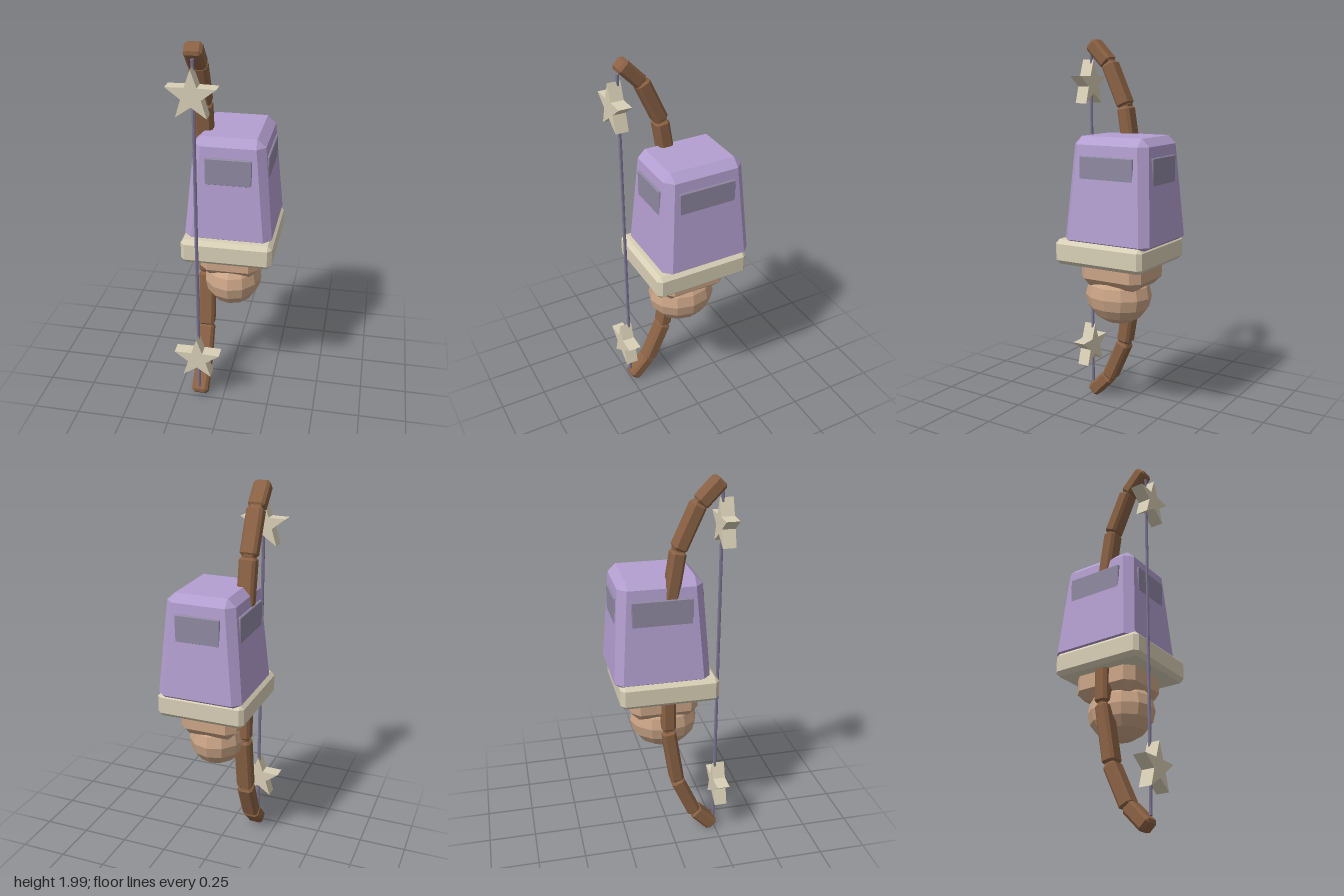
import * as THREE from 'three';

const mat = (color) => new THREE.MeshStandardMaterial({ color, flatShading: true });
const purple = mat(0xb39fd0), cream = mat(0xd8cfb6), skin = mat(0xcba587);
const wood = mat(0x8a6245), cord = mat(0x7a7390), panelGrey = mat(0x9089a2);

// Stacks corner-cut rectangles [y, x0, x1, z0, z1, cut] from bottom to top
function loft(rings) {
  const loops = rings.map(([y, x0, x1, z0, z1, c]) => [
    [x1, y, z0 + c], [x1, y, z1 - c], [x1 - c, y, z1], [x0 + c, y, z1],
    [x0, y, z1 - c], [x0, y, z0 + c], [x0 + c, y, z0], [x1 - c, y, z0],
  ]);
  const pos = [];
  const tri = (...pts) => pts.forEach((p) => pos.push(...p));
  for (let r = 0; r < loops.length - 1; r++) {
    const a = loops[r], b = loops[r + 1];
    for (let i = 0; i < 8; i++) {
      const j = (i + 1) % 8;
      tri(a[i], b[i], a[j]);
      tri(a[j], b[i], b[j]);
    }
  }
  const low = loops[0], top = loops[loops.length - 1];
  for (let i = 1; i < 7; i++) {
    tri(low[0], low[i], low[i + 1]);
    tri(top[0], top[i + 1], top[i]);
  }
  const g = new THREE.BufferGeometry();
  g.setAttribute('position', new THREE.Float32BufferAttribute(pos, 3));
  g.computeVertexNormals();
  return g;
}

// Box with bevelled edges, centred on the origin
function bevelBox(w, h, d, b) {
  const x = w / 2, y = h / 2, z = d / 2;
  const ring = (yy, i, c) => [yy, -x + i, x - i, -z + i, z - i, c];
  return loft([ring(-y, b, 0.001), ring(-y + b, 0, b), ring(y - b, 0, b), ring(y, b, 0.001)]);
}

function starGeometry(R, depth) {
  const s = new THREE.Shape();
  for (let i = 0; i < 10; i++) {
    const a = Math.PI / 2 + (i * Math.PI) / 5, r = i % 2 ? R * 0.4 : R;
    s[i ? 'lineTo' : 'moveTo'](Math.cos(a) * r, Math.sin(a) * r);
  }
  return new THREE.ExtrudeGeometry(s, { depth, bevelEnabled: false });
}

export function createModel() {
  const model = new THREE.Group();
  const add = (name, geo, material, x = 0, y = 0, z = 0, parent = model) => {
    const m = new THREE.Mesh(geo, material);
    m.name = name;
    m.position.set(x, y, z);
    parent.add(m);
    return m;
  };

  // Tapered sleeve
  add('sleeve', loft([
    [0.96, -0.17, 0.2, -0.265, 0.155, 0.002],
    [0.985, -0.21, 0.24, -0.302, 0.194, 0.04],
    [1.47, -0.163, 0.197, -0.27, 0.16, 0.042],
    [1.51, -0.122, 0.153, -0.23, 0.121, 0.002],
  ]), purple);

  // Upright panels emerging from the sloping sleeve sides
  const panels = new THREE.Group();
  panels.name = 'sleevePanels';
  model.add(panels);
  for (const [name, z] of [['frontPanel', 0.165], ['backPanel', -0.273]])
    add(name, bevelBox(0.235, 0.14, 0.02, 0.004), panelGrey, 0.018, 1.345, z, panels);
  for (const [name, x] of [['leftPanel', 0.202], ['rightPanel', -0.171]])
    add(name, bevelBox(0.02, 0.14, 0.31, 0.004), panelGrey, x, 1.345, -0.055, panels);

  // Cuff, wrist and fist
  add('cuff', bevelBox(0.47, 0.13, 0.515, 0.022), cream, 0.015, 0.915, -0.02);
  add('wrist', bevelBox(0.31, 0.18, 0.36, 0.045), skin, 0.01, 0.815, -0.03);
  const fist = add('fist', new THREE.SphereGeometry(1, 12, 8), skin, 0.012, 0.665, -0.012);
  fist.scale.set(0.155, 0.155, 0.183);

  // Bow limbs: bevelled blocks along an arc, mirrored about y = 1
  const bow = new THREE.Group();
  bow.name = 'bow';
  bow.position.x = -0.13;
  model.add(bow);
  const segments = [
    [0.238, 1.978, 0.132, 1.868],
    [0.132, 1.875, 0.03, 1.65],
    [0.032, 1.65, -0.018, 1.335],
    [-0.018, 1.33, -0.018, 1],
  ];
  for (const side of [1, -1]) {
    segments.forEach(([z0, y0, z1, y1], i) => {
      const len = Math.hypot(z0 - z1, y0 - y1);
      const y = 1 + side * ((y0 + y1) / 2 - 1);
      const m = add('bowSegment', bevelBox(0.088, len, 0.074, 0.014), wood, 0, y, (z0 + z1) / 2, bow);
      m.rotation.x = side * Math.atan2(z0 - z1, y0 - y1);
      // Narrow joint between neighbouring blocks
      if (i < 3) add('bowJoint', bevelBox(0.066, 0.05, 0.05, 0.01), wood, 0, 1 + side * (y1 - 1), z1, bow);
    });
  }

  // String and star ornaments
  add('bowString', new THREE.CylinderGeometry(0.009, 0.009, 1.85, 6), cord, -0.13, 1, 0.247);
  for (const [name, y] of [['upperStar', 1.765], ['lowerStar', 0.292]])
    add(name, starGeometry(0.127, 0.068), cream, -0.13, y, 0.232);

  return model;
}
